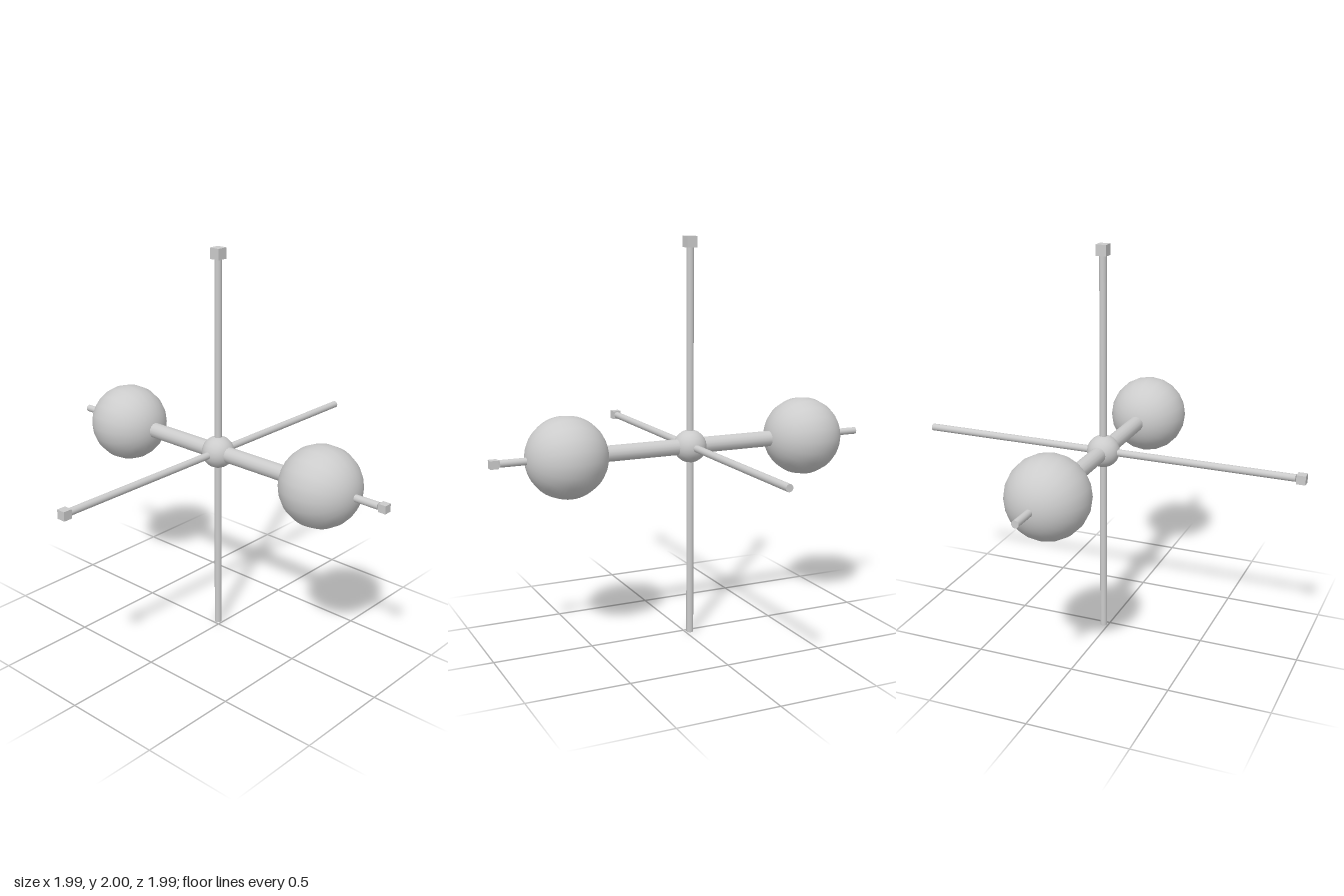
import * as THREE from 'three';

export function createModel() {
  const model = new THREE.Group();
  const body = new THREE.Group();
  body.name = 'dumbbellWithAxes';
  body.position.set(-0.025, 0.972, -0.025);
  model.add(body);
  const material = new THREE.MeshStandardMaterial({ color: 0xcccccc });

  const add = (name, geometry, x = 0, y = 0, z = 0) => {
    const mesh = new THREE.Mesh(geometry, material);
    mesh.name = name;
    mesh.position.set(x, y, z);
    body.add(mesh);
    return mesh;
  };

  // Three thin axis rods, each with a small cube just beyond its positive end
  const rod = new THREE.CylinderGeometry(0.018, 0.018, 1.944, 16);
  add('verticalRod', rod);
  add('sideRod', rod).rotation.z = -Math.PI / 2;
  add('depthRod', rod).rotation.x = Math.PI / 2;
  add('topCube', new THREE.BoxGeometry(0.054, 0.054, 0.054), 0, 1, 0);
  add('sideCube', new THREE.BoxGeometry(0.04, 0.04, 0.04), 1, 0, 0);
  add('frontCube', new THREE.BoxGeometry(0.045, 0.045, 0.045), 0, 0, 1);

  // Thick bar joining the two large balls
  add('bar', new THREE.CylinderGeometry(0.04, 0.04, 1.29, 16)).rotation.z = -Math.PI / 2;

  // Balls, with their poles on the bar's axis
  const ball = (name, radius, x) =>
    add(name, new THREE.SphereGeometry(radius, 20, 32), x).rotation.z = -Math.PI / 2;
  ball('centreBall', 0.082, 0);
  ball('leftBall', 0.2, 0.645);
  ball('rightBall', 0.2, -0.645);

  return model;
}
